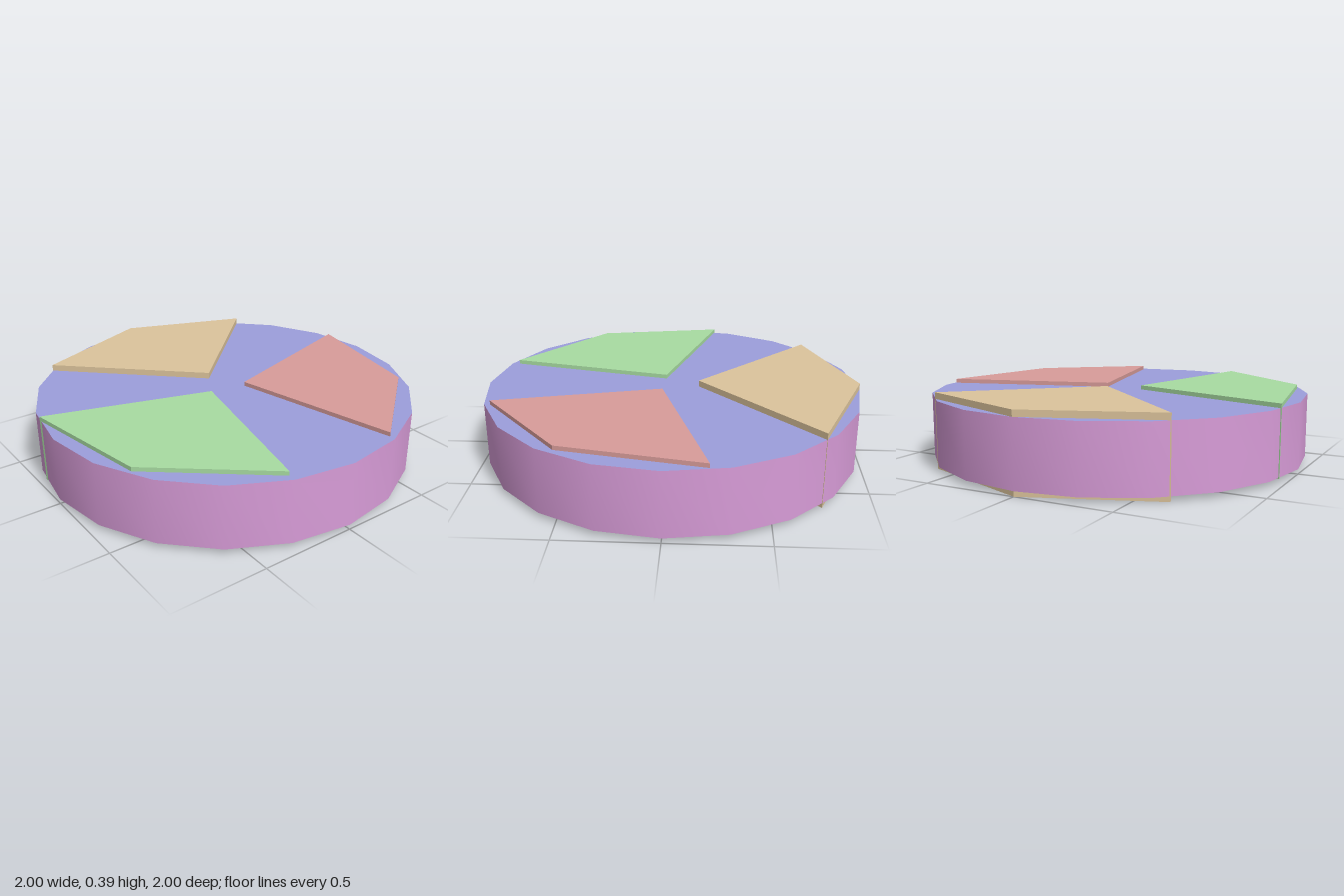
import * as THREE from 'three';
import { toCreasedNormals } from 'three/addons/utils/BufferGeometryUtils.js';

const SIDES = 20;
const RIM_BOTTOM = 0.025, RIM_TOP = 0.36, PLATE_BOTTOM = 0.045;

export function createModel() {
  const model = new THREE.Group();
  model.name = 'drum';

  const add = (name, geometry, color) => {
    const mesh = new THREE.Mesh(geometry, new THREE.MeshStandardMaterial({ color }));
    mesh.name = name;
    model.add(mesh);
    return mesh;
  };

  // Side wall with a thin lip turned in at the bottom
  const profile = [
    [0.95, PLATE_BOTTOM], [0.95, RIM_BOTTOM], [1, RIM_BOTTOM], [1, RIM_TOP],
  ].map(([r, y]) => new THREE.Vector2(r, y));
  const wall = new THREE.LatheGeometry(profile, SIDES);
  add('sideWall', toCreasedNormals(wall, 0.7), 0xd89cd8);

  // Flat top plate and slightly recessed bottom plate
  const plate = (name, radius, y, turn) => {
    const geometry = new THREE.CircleGeometry(radius, SIDES);
    geometry.rotateX(turn).translate(0, y, 0);
    add(name, geometry, 0x9c9edc);
  };
  plate('topPlate', 1, RIM_TOP, -Math.PI / 2);
  plate('bottomPlate', 0.95, PLATE_BOTTOM, Math.PI / 2);

  // Four-cornered wedges that run through the drum; corners are [x, z]
  const wedge = (name, corners, bottom, top, color) => {
    const shape = new THREE.Shape(corners.map(([x, z]) => new THREE.Vector2(x, -z)));
    const geometry = new THREE.ExtrudeGeometry(shape, { depth: top - bottom, bevelEnabled: false });
    geometry.rotateX(-Math.PI / 2).translate(0, bottom, 0);
    add(name, geometry, color);
  };
  wedge('backWedge', [[0, -0.14], [0.65, -0.75], [0, -1], [-0.65, -0.75]], 0, 0.393, 0xdcc49c);
  wedge('leftWedge', [[0.1, 0.05], [0.31, 0.92], [0.82, 0.5], [0.96, -0.21]], 0.02, 0.382, 0xd89c9a);
  wedge('rightWedge', [[-0.11, 0.04], [-0.97, -0.22], [-0.85, 0.47], [-0.31, 0.91]], 0.02, 0.382, 0xa8dca2);

  return model;
}
